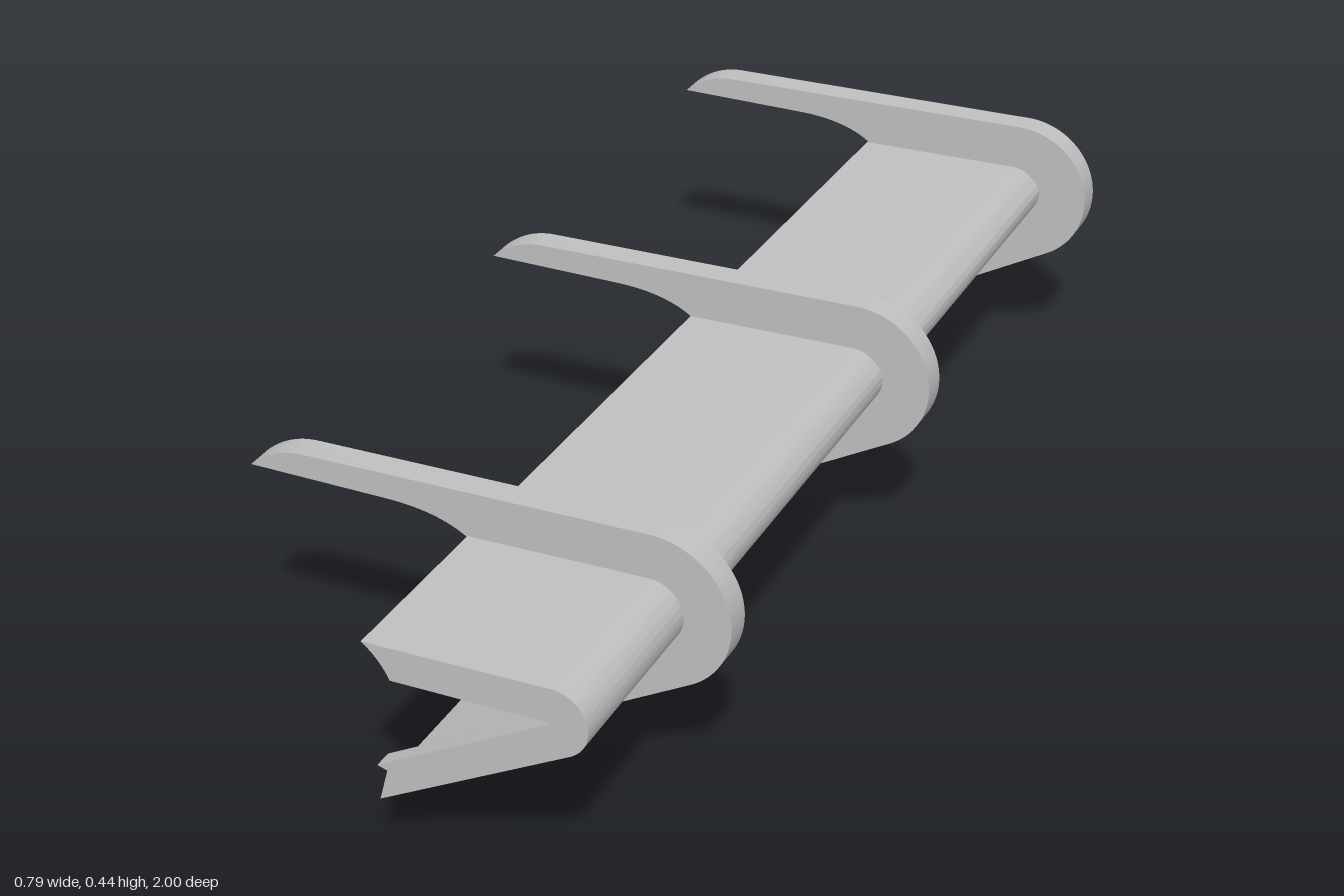
import * as THREE from 'three';
import { toCreasedNormals } from 'three/addons/utils/BufferGeometryUtils.js';

const NOSE = { x: 0.268, y: 0.32 };
const TOP_ANGLE = THREE.MathUtils.degToRad(91);
const LOW_ANGLE = THREE.MathUtils.degToRad(-61.5);

// Folded plate profile; the scooped version has a concave channel at the lower lip
function plateShape(scooped) {
  const s = new THREE.Shape();
  s.moveTo(-0.028, 0.368);
  s.absarc(NOSE.x, NOSE.y, 0.055, TOP_ANGLE, LOW_ANGLE, true);
  s.lineTo(-0.011, 0.105);
  if (scooped) {
    s.lineTo(-0.006, 0.125);
    s.quadraticCurveTo(0.03, 0.145, 0.038, 0.192);
  } else {
    s.lineTo(0.003, 0.158);
    s.lineTo(-0.013, 0.163);
  }
  s.lineTo(0.268, 0.319);
  s.lineTo(0.015, 0.315);
  s.quadraticCurveTo(0.002, 0.345, -0.028, 0.368);
  return s;
}

// Hook-shaped rib that wraps the plate
function ribShape() {
  const s = new THREE.Shape();
  s.moveTo(-0.395, 0.396);
  s.quadraticCurveTo(-0.355, 0.433, -0.305, 0.435);
  s.absarc(NOSE.x, NOSE.y, 0.127, TOP_ANGLE, LOW_ANGLE, true);
  s.lineTo(-0.037, 0.003);
  s.lineTo(0.003, 0.158);
  s.lineTo(-0.013, 0.163);
  s.lineTo(0.269, 0.319);
  s.lineTo(0.015, 0.315);
  s.bezierCurveTo(-0.015, 0.375, -0.08, 0.396, -0.165, 0.396);
  return s;
}

function extrude(shape, z0, z1) {
  const g = new THREE.ExtrudeGeometry(shape, { depth: z1 - z0, bevelEnabled: false, curveSegments: 24 });
  return g.translate(0, 0, z0);
}

// The plate's fold closes slightly towards the back
function taper(g) {
  const p = g.attributes.position;
  for (let i = 0; i < p.count; i++) {
    const x = p.getX(i), y = p.getY(i), t = (1 - p.getZ(i)) / 2;
    const side = THREE.MathUtils.clamp((y - (0.32 - (0.27 - x) * 0.31)) / 0.02, -1, 1);
    p.setXY(i, x - 0.015 * t * THREE.MathUtils.clamp(x / 0.3, 0, 1), y - 0.008 * t * side);
  }
  return g;
}

export function createModel() {
  const model = new THREE.Group();
  model.name = 'ribbedEdge';
  const grey = new THREE.MeshStandardMaterial({ color: 0xbfbfbf });
  grey.name = 'plainGrey';

  const add = (name, geometry) => {
    const mesh = new THREE.Mesh(toCreasedNormals(geometry, 0.5), grey);
    mesh.name = name;
    model.add(mesh);
  };

  // Plate: solid blocks at the ribs and ends, scooped lengths between
  const cuts = [-1, -0.8, -0.15, -0.04, 0.61, 0.72, 0.97, 1];
  for (let i = 0; i < cuts.length - 1; i++) {
    const scooped = i % 2 === 1;
    add(scooped ? 'scoopedPlate' : 'solidPlate', taper(extrude(plateShape(scooped), cuts[i], cuts[i + 1])));
  }

  // Three ribs
  for (const z of [-0.855, -0.092, 0.671]) add('rib', extrude(ribShape(), z - 0.023, z + 0.023));

  return model;
}
